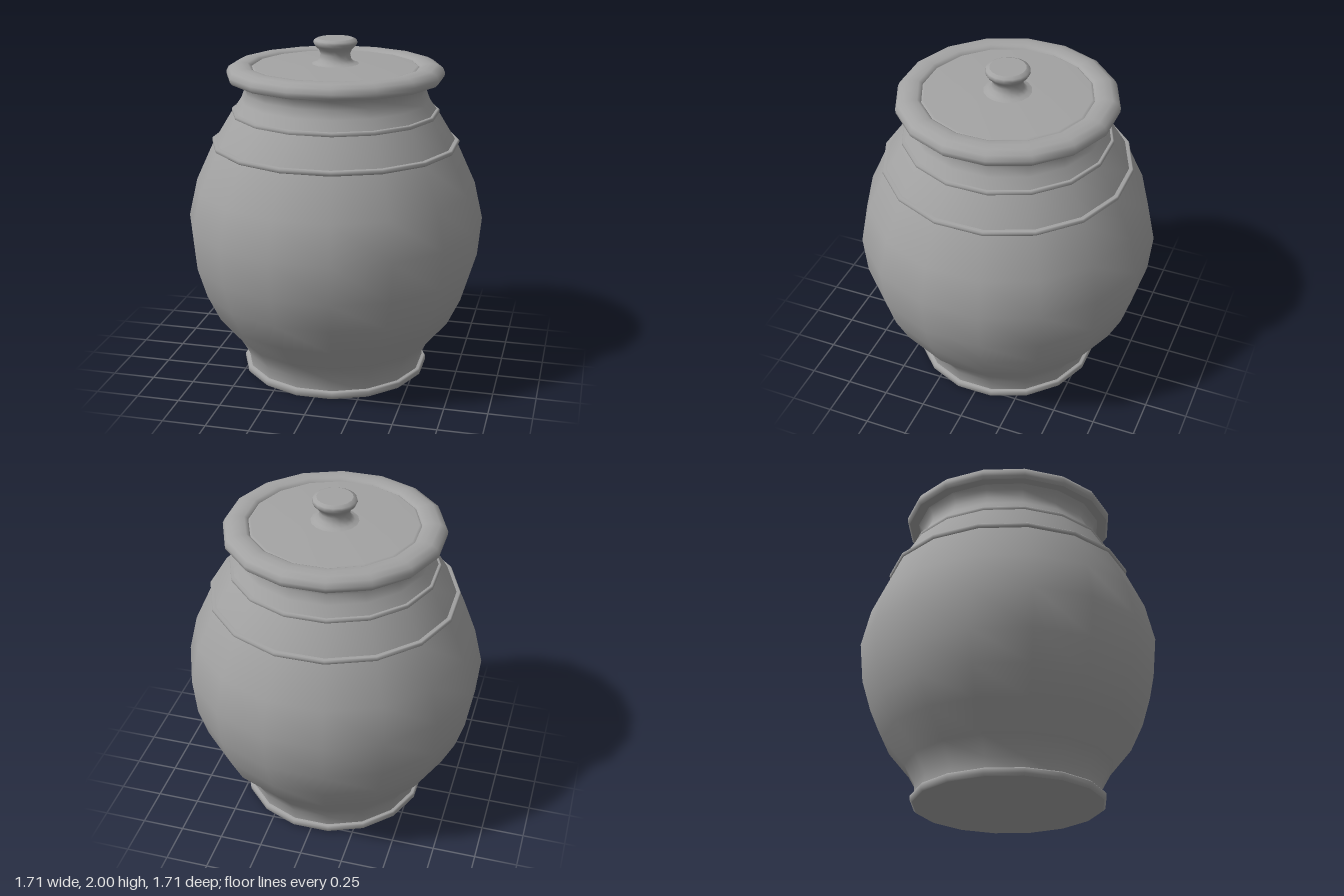
import * as THREE from 'three';

const SIDES = 16;
const FLAT = Math.cos(Math.PI / SIDES); // profile widths are measured across the flats

export function createModel() {
  const jar = new THREE.Group();
  jar.name = 'lidded jar';
  const clay = new THREE.MeshStandardMaterial({ color: 0xa3a3a3 });
  clay.name = 'grey clay';

  // Turned part from [radius, height] pairs, listed from the bottom up the outside.
  // A repeated pair keeps a sharp edge.
  function turn(name, profile, parent = jar) {
    const points = profile.map(([r, y]) => new THREE.Vector2(r / FLAT, y));
    const mesh = new THREE.Mesh(
      new THREE.LatheGeometry(points, SIDES, Math.PI / SIDES), clay);
    mesh.name = name;
    parent.add(mesh);
    return mesh;
  }

  // Thin raised band with rounded edges
  function band(name, y0, y1, inner, outer) {
    const e = (y1 - y0) * 0.25;
    turn(name, [[inner, y0], [outer - e, y0], [outer, y0 + e],
      [outer, y1 - e], [outer - e, y1], [inner, y1]]);
  }

  // Belly, shoulder and flared neck
  turn('body', [
    [0.52, 0.03], [0.522, 0.11], [0.58, 0.215], [0.705, 0.37], [0.78, 0.53],
    [0.832, 0.705], [0.853, 0.935], [0.803, 1.155], [0.7, 1.385],
    [0.59, 1.57], [0.535, 1.65], [0.516, 1.7], [0.525, 1.745], [0.55, 1.775],
  ]);

  // Flat underside and foot
  turn('underside', [[0, 0], [0.53, 0]]);
  turn('foot', [[0.53, 0], [0.543, 0.012], [0.543, 0.036], [0.535, 0.045], [0.5, 0.048]]);

  // Raised bands on the shoulder
  band('lowerBand', 1.388, 1.415, 0.66, 0.707);
  band('upperBand', 1.567, 1.595, 0.54, 0.59);

  // Lid with a rolled rim around a shallow recess
  const lid = new THREE.Group();
  lid.name = 'lid';
  jar.add(lid);
  turn('lidUnderside', [[0, 1.775], [0.6, 1.77]], lid);
  turn('lidRim', [
    [0.6, 1.77], [0.613, 1.785], [0.615, 1.807], [0.602, 1.835],
    [0.57, 1.852], [0.53, 1.857], [0.495, 1.853], [0.48, 1.845], [0.473, 1.835],
  ], lid);
  turn('lidTop', [[0.473, 1.835], [0.473, 1.835], [0.46, 1.843], [0.14, 1.855], [0, 1.855]], lid);

  // Waisted knob
  turn('knob', [
    [0.14, 1.853], [0.11, 1.862], [0.09, 1.88], [0.083, 1.91], [0.092, 1.935],
    [0.115, 1.957], [0.124, 1.975], [0.12, 1.99], [0.1, 2], [0.1, 2], [0, 2],
  ], lid);

  return jar;
}
